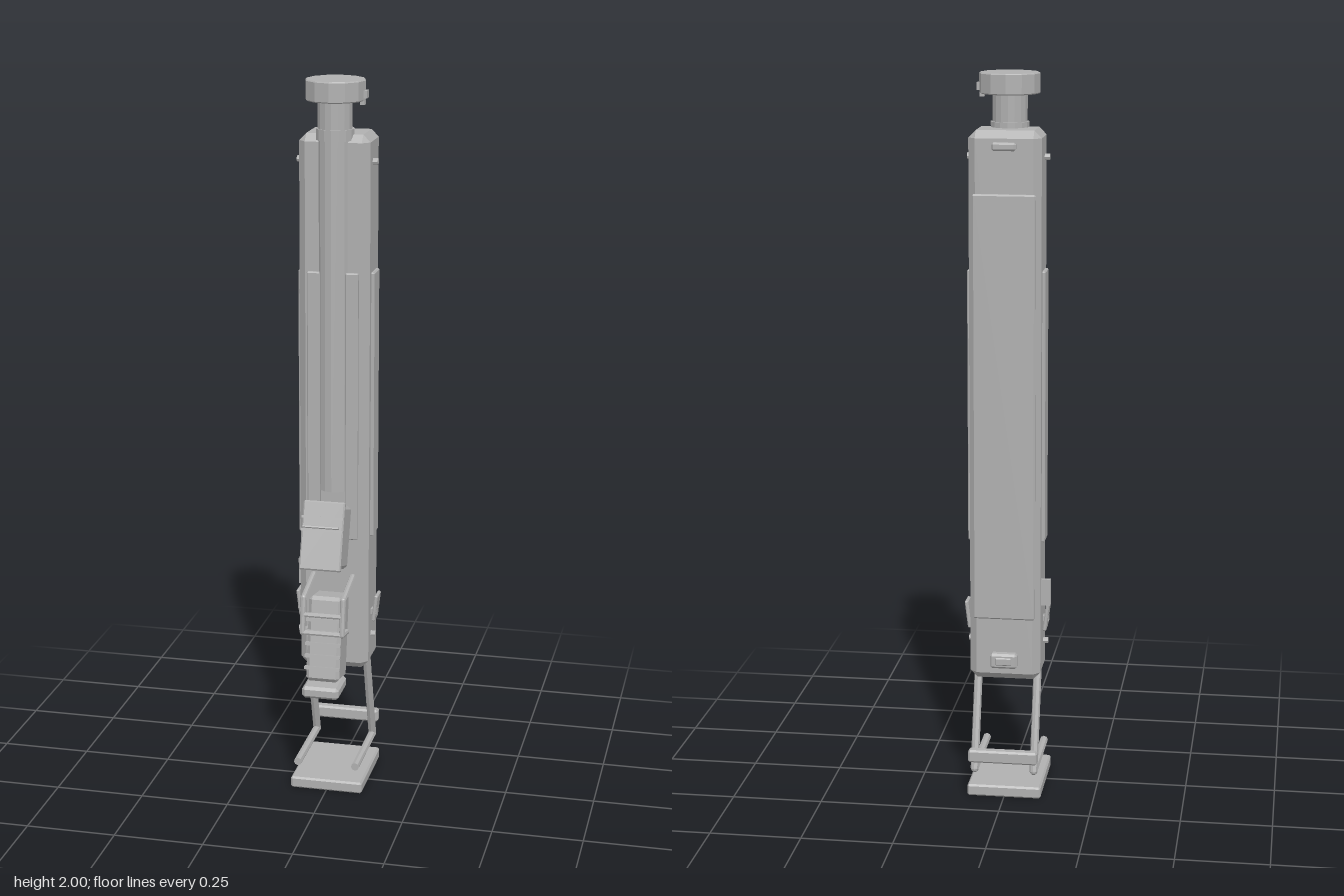
import * as THREE from 'three';
import { ConvexGeometry } from 'three/addons/geometries/ConvexGeometry.js';

export function createModel() {
  const model = new THREE.Group();
  const grey = new THREE.MeshStandardMaterial({ color: 0xb0b0b0 });
  grey.name = 'plainGrey';
  grey.flatShading = true;

  function add(name, geometry, x = 0, y = 0, z = 0, parent = model) {
    const mesh = new THREE.Mesh(geometry, grey);
    mesh.name = name;
    mesh.position.set(x, y, z);
    parent.add(mesh);
    return mesh;
  }
  // Box with every edge cut at 45 degrees
  function chamferBox(w, h, d, c) {
    const pts = [];
    for (const sx of [-1, 1]) for (const sy of [-1, 1]) for (const sz of [-1, 1]) {
      const x = w / 2, y = h / 2, z = d / 2;
      pts.push(new THREE.Vector3(sx * x, sy * (y - c), sz * (z - c)),
        new THREE.Vector3(sx * (x - c), sy * y, sz * (z - c)),
        new THREE.Vector3(sx * (x - c), sy * (y - c), sz * z));
    }
    return new ConvexGeometry(pts);
  }
  // Straight rod between two points
  function rod(name, a, b, r, sides = 8) {
    const p = new THREE.Vector3(...a), q = new THREE.Vector3(...b);
    const dir = q.clone().sub(p);
    const mesh = add(name, new THREE.CylinderGeometry(r, r, dir.length(), sides));
    mesh.position.copy(p).add(q).multiplyScalar(0.5);
    mesh.quaternion.setFromUnitVectors(new THREE.Vector3(0, 1, 0), dir.normalize());
  }
  function rodPath(name, pts, r) {
    for (let i = 1; i < pts.length; i++) rod(name, pts[i - 1], pts[i], r);
    for (const p of pts.slice(1, -1)) add(name + 'Joint', new THREE.SphereGeometry(r, 8, 6), ...p);
  }

  // Tall body with a tube let into its front
  add('body', chamferBox(0.195, 1.515, 0.145, 0.02), 0, 1.098, -0.0625);
  add('tube', new THREE.CylinderGeometry(0.047, 0.047, 1.09, 16), 0, 1.415, -0.014);
  add('neckCollar', new THREE.CylinderGeometry(0.052, 0.052, 0.03, 16), 0, 1.855, -0.016);

  // Head knob with a small catch
  add('headKnob', chamferedDisc(0.082, 0.056), 0, 1.972, -0.02);
  add('headCatch', new THREE.BoxGeometry(0.02, 0.02, 0.022), 0.078, 1.962, -0.016);
  add('headCatchTip', new THREE.BoxGeometry(0.012, 0.012, 0.02), 0.075, 1.94, -0.016);
  function chamferedDisc(r, h) {
    const c = 0.003;
    const profile = [[0, -h / 2], [r - c, -h / 2], [r, -h / 2 + c], [r, h / 2 - c], [r - c, h / 2], [0, h / 2]];
    return new THREE.LatheGeometry(profile.map(p => new THREE.Vector2(...p)), 12);
  }

  // Back panel, catch and lower latch
  add('backPanel', chamferBox(0.17, 1.17, 0.014, 0.004), 0, 1.105, -0.139);
  add('backCatch', chamferBox(0.065, 0.022, 0.018, 0.005), 0, 1.815, -0.139);
  add('backLatch', chamferBox(0.075, 0.042, 0.028, 0.006), 0, 0.403, -0.147);
  add('backLatchTab', chamferBox(0.045, 0.022, 0.012, 0.003), 0, 0.403, -0.158);

  for (const s of [-1, 1]) {
    // Flat plates on the sides and the front rails
    add('sidePanel', chamferBox(0.016, 0.75, 0.068, 0.003), s * 0.098, 1.105, -0.061);
    add('frontPanel', chamferBox(0.036, 0.755, 0.016, 0.003), s * 0.053, 1.108, 0.013);
    // Rivets
    for (const y of [1.78, 0.432]) {
      const rivet = add('rivet', new THREE.CylinderGeometry(0.009, 0.009, 0.022, 8), s * 0.1, y, -0.045);
      rivet.rotation.z = Math.PI / 2;
    }
    // Side lever
    const lever = add('sideLever', chamferBox(0.01, 0.078, 0.05, 0.003), s * 0.109, 0.51, -0.06);
    lever.rotation.z = -s * 0.12;
    add('leverPivot', new THREE.BoxGeometry(0.025, 0.015, 0.02), s * 0.102, 0.5, -0.05);

    // Leg and foot rail
    rodPath('leg', [[s * 0.083, 0.36, -0.055], [s * 0.083, 0.08, -0.143], [s * 0.083, 0.08, 0.097]], 0.0115);

    // Guard loop around the lower pack
    rodPath('guard', [[s * 0.056, 0.62, 0.005], [s * 0.056, 0.592, 0.132],
      [s * 0.056, 0.495, 0.146], [s * 0.056, 0.485, 0.09]], 0.008);
  }
  add('sideFin', new THREE.BoxGeometry(0.03, 0.075, 0.012), -0.108, 0.588, -0.094);

  // Leg crossbar and ground plate
  add('crossbar', chamferBox(0.192, 0.036, 0.028, 0.005), 0, 0.128, -0.167);
  add('basePlate', chamferBox(0.206, 0.033, 0.255, 0.005), 0, 0.0165, -0.025);

  // Upper pack, leaning back
  const upper = new THREE.Group();
  upper.name = 'upperPack';
  upper.position.set(0, 0.762, 0.092);
  upper.rotation.x = -0.33;
  model.add(upper);
  add('upperCase', chamferBox(0.108, 0.175, 0.105, 0.01), 0, 0, -0.004, upper);
  add('upperLid', chamferBox(0.116, 0.19, 0.018, 0.004), 0, 0, 0.052, upper);
  for (const y of [0.015, 0.05])
    add('upperRib', new THREE.BoxGeometry(0.118, 0.007, 0.012), 0, y, 0.062, upper);
  rod('upperWire', [-0.05, 0.81, 0.16], [0.05, 0.81, 0.16], 0.004, 6);

  // Lower pack with ribs and foot block
  const lower = new THREE.Group();
  lower.name = 'lowerPack';
  lower.position.set(0, 0.462, 0.08);
  lower.rotation.x = -0.18;
  model.add(lower);
  add('lowerCase', chamferBox(0.095, 0.24, 0.1, 0.01), 0, 0, 0, lower);
  for (let i = 0; i < 5; i++)
    add('lowerRib', new THREE.BoxGeometry(0.1, 0.009, 0.014), 0, 0.055 - i * 0.034, 0.052, lower);
  rod('guardBar', [-0.056, 0.545, 0.139], [0.056, 0.545, 0.139], 0.007);
  rod('guardBar', [-0.056, 0.495, 0.146], [0.056, 0.495, 0.146], 0.007);
  add('footBlock', chamferBox(0.104, 0.034, 0.112, 0.008), 0, 0.328, 0.121);

  return model;
}
